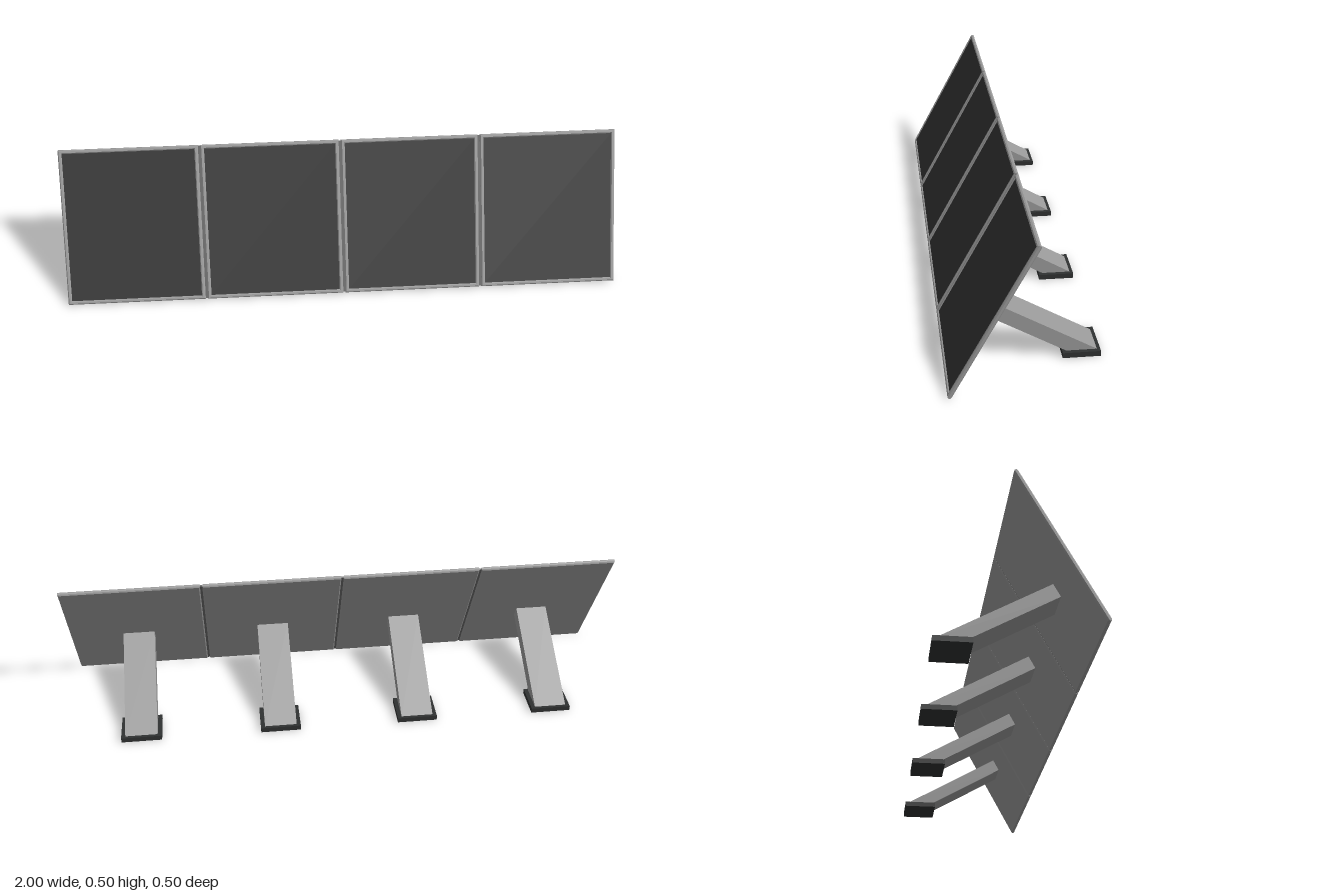
import * as THREE from 'three';

const grey = new THREE.MeshStandardMaterial({ name: 'greyMetal', color: 0x999999 });
const seam = new THREE.MeshStandardMaterial({ name: 'darkGreySeam', color: 0x666666 });
const dark = new THREE.MeshStandardMaterial({ name: 'panelBlack', color: 0x323232 });
const rubber = new THREE.MeshStandardMaterial({ name: 'footBlack', color: 0x2f3131 });

const PITCH = 0.502, W = 0.494, H = 0.563, T = 0.0145; // panel spacing, width, height, thickness
const RIM = 0.014, C = 0.004; // rim width and chamfer

function add(parent, name, geometry, material, x = 0, y = 0, z = 0) {
  const mesh = new THREE.Mesh(geometry, material);
  mesh.name = name;
  mesh.position.set(x, y, z);
  parent.add(mesh);
  return mesh;
}

function rect(target, w, h) {
  target.moveTo(-w / 2, -h / 2);
  target.lineTo(w / 2, -h / 2);
  target.lineTo(w / 2, h / 2);
  target.lineTo(-w / 2, h / 2);
  target.closePath();
  return target;
}

// Chamfered rectangular rim around one panel
function frameGeometry() {
  const shape = rect(new THREE.Shape(), W, H);
  shape.holes.push(rect(new THREE.Path(), W - 2 * RIM, H - 2 * RIM));
  const g = new THREE.ExtrudeGeometry(shape, {
    depth: T - 2 * C, bevelEnabled: true, bevelThickness: C,
    bevelSize: C, bevelOffset: -C, bevelSegments: 1,
  });
  return g.translate(0, 0, -(T / 2 - C));
}

// Slanted bar, drawn from the side and extruded across its width
function strutGeometry() {
  const width = 0.115;
  const side = new THREE.Shape([
    [-0.241, 0.017], [-0.143, 0.017], [0.145, 0.182], [0.12, 0.224],
  ].map(([z, y]) => new THREE.Vector2(z, y)));
  const g = new THREE.ExtrudeGeometry(side, { depth: width, bevelEnabled: false });
  return g.translate(0, 0, -width / 2).rotateY(-Math.PI / 2);
}

export function createModel() {
  const model = new THREE.Group();
  model.name = 'tiltedPanelRow';

  const board = new THREE.Group();
  board.name = 'panelBoard';
  board.position.set(0, 0.25, 0.111);
  board.rotation.x = -0.494;
  model.add(board);

  const frame = frameGeometry();
  const strut = strutGeometry();
  const innerW = W - 2 * RIM, innerH = H - 2 * RIM;
  const back = new THREE.BoxGeometry(innerW + 2 * C, innerH + 2 * C, 0.007);
  const face = new THREE.BoxGeometry(innerW + 0.002, innerH + 0.002, 0.004);
  const foot = new THREE.BoxGeometry(0.144, 0.018, 0.122);

  for (let i = 0; i < 4; i++) {
    const x = (i - 1.5) * PITCH;
    add(board, 'panelFrame', frame, grey, x);
    add(board, 'panelBack', back, grey, x, 0, -T / 2 + 0.0035);
    add(board, 'panelFace', face, dark, x, 0, 0.0018);

    // Rear support
    const sx = (i - 1.5) * 0.5;
    add(model, 'supportStrut', strut, grey, sx);
    add(model, 'supportFoot', foot, rubber, sx, 0.009, -0.189);
  }

  // Recessed strips joining neighbouring panels
  const strip = new THREE.BoxGeometry(PITCH - W + 0.004, H - 0.006, 0.006);
  for (let i = -1; i <= 1; i++) add(board, 'joiningStrip', strip, seam, i * PITCH);

  return model;
}
